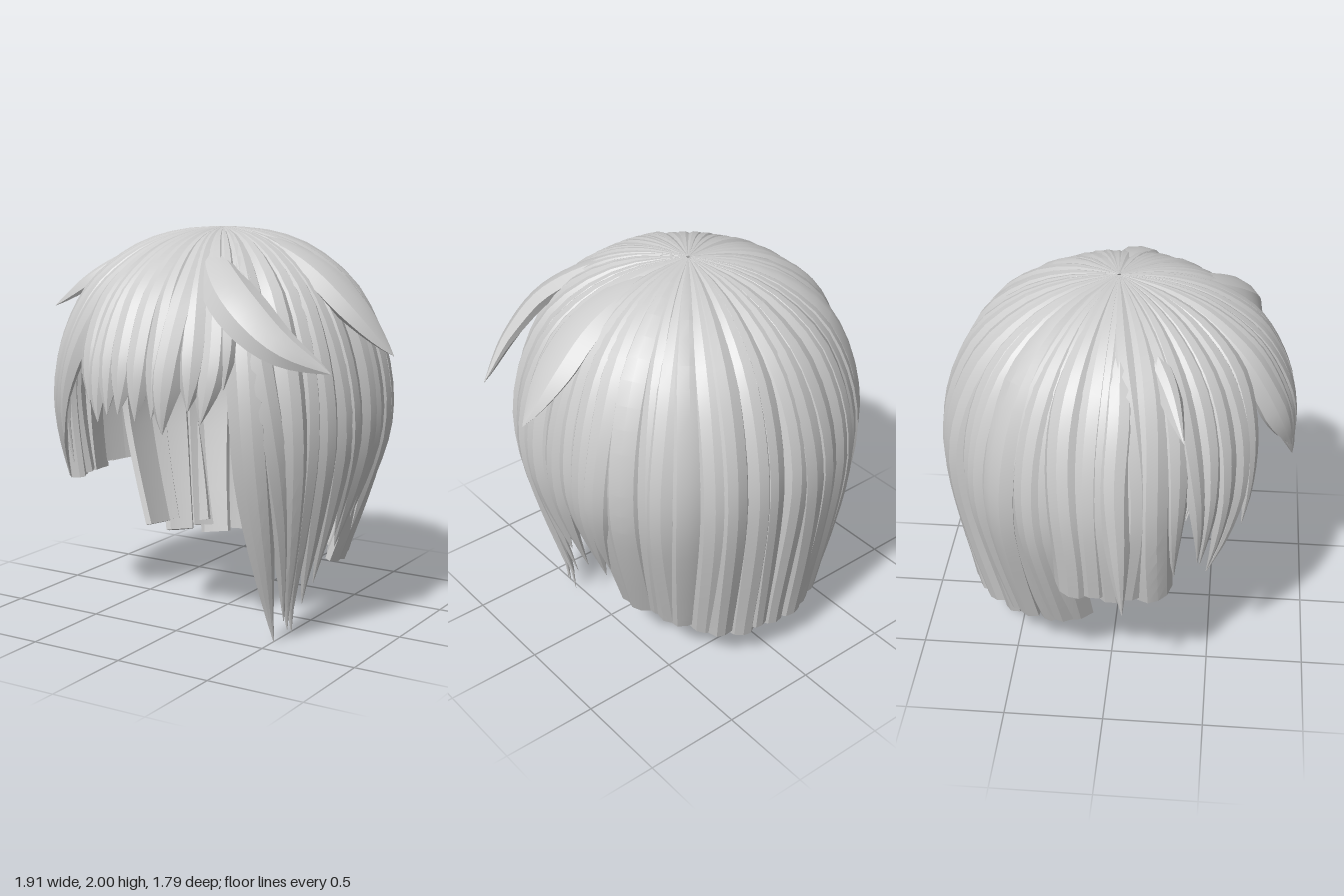
import * as THREE from 'three';
import { toCreasedNormals } from 'three/addons/utils/BufferGeometryUtils.js';

const material = new THREE.MeshStandardMaterial({ color: 0xcccccc, side: THREE.DoubleSide });
const CROWN_X = -0.03;
const STEPS = 20;

// small seeded generator for natural variation
let seed = 7;
const rand = () => (seed = (seed * 16807) % 2147483647) / 2147483647;
const vary = (amount) => (rand() - 0.5) * 2 * amount;

// head profile from crown to hem as (radius, height)
const profile = new THREE.SplineCurve([
  [0.01, 1.995], [0.25, 1.96], [0.47, 1.87], [0.67, 1.7], [0.8, 1.46],
  [0.86, 1.2], [0.855, 0.95], [0.81, 0.6], [0.75, 0.2], [0.74, 0],
].map(([r, y]) => new THREE.Vector2(r, y))).getSpacedPoints(300);

// faceted lock section: (across, outward) going round the outside, then back inside
const SECTION = [[-1, -0.03], [-0.55, 0.02], [0, 0.032], [0.55, 0.02],
  [1, -0.03], [0.8, -0.06], [0, -0.055], [-0.8, -0.06]];

// sweep the section along points; widths[i] is the half width at point i,
// tilt lifts one edge over the neighbouring lock
function lockGeometry(points, widths, fullWidth, { blunt = false, tilt = 0 }) {
  const pos = [], index = [], n = SECTION.length;
  const T = new THREE.Vector3(), N = new THREE.Vector3(), B = new THREE.Vector3();
  points.forEach((p, i) => {
    T.subVectors(points[Math.min(i + 1, points.length - 1)], points[Math.max(i - 1, 0)]).normalize();
    N.set(p.x - CROWN_X, Math.max(0, (p.y - 1.1) * 0.9), p.z);
    B.crossVectors(T, N).normalize();
    N.crossVectors(B, T).normalize();
    const k = Math.min(1, widths[i] / fullWidth);
    SECTION.forEach(([u, o]) => {
      const v = p.clone().addScaledVector(B, u * widths[i]).addScaledVector(N, o * k + tilt * u * widths[i]);
      pos.push(v.x, v.y, v.z);
    });
    if (i === 0) return;
    for (let j = 0; j < n; j++) {
      const a = (i - 1) * n + j, b = (i - 1) * n + (j + 1) % n;
      index.push(a, b, b + n, a, b + n, a + n);
    }
  });
  if (blunt) {
    const e = (points.length - 1) * n;
    for (let j = 1; j < n - 1; j++) index.push(e, e + j, e + j + 1);
  }
  const g = new THREE.BufferGeometry();
  g.setAttribute('position', new THREE.Float32BufferAttribute(pos, 3));
  g.setIndex(index);
  return toCreasedNormals(g, 0.4);
}

function addMesh(group, name, geometry) {
  const mesh = new THREE.Mesh(geometry, material);
  mesh.name = name;
  group.add(mesh);
}

// a lock lying on the head; angle runs from the front (+z) toward +x, in degrees,
// pinch is how strongly the hem draws in at the sides
function headLock(group, name, lock) {
  const { angle, tip, half = 0.09, drift = 0, out = 0, blunt = false, taper = 0.6, pinch = 1 } = lock;
  let last = profile.findIndex((p) => p.y <= tip);
  if (last < 0) last = profile.length - 1;
  const points = [], widths = [], wave = vary(2.2), phase = rand() * 6;
  for (let i = 0; i <= STEPS; i++) {
    const t = i / STEPS;
    const { x: r0, y } = profile[Math.round(t * last)];
    const a = THREE.MathUtils.degToRad(angle + drift * t ** 2.5 + wave * Math.sin(t * 6 + phase));
    const low = Math.max(0, (1 - y) / 0.8) ** 1.4;
    const draw = pinch * (0.18 - 0.12 * Math.cos(a)) * Math.min(1.2, low);
    const r = r0 * (1 - Math.sin(a) ** 2 * (0.05 + draw)) + out * Math.min(1, r0);
    points.push(new THREE.Vector3(CROWN_X + r * Math.sin(a), y, r * Math.cos(a)));
    const end = blunt ? 1 - 0.15 * Math.min(1, low) : 1 - Math.max(0, (t - taper) / (1 - taper)) ** 1.5;
    widths.push(Math.max(0.002, half * Math.min(1, r0 / 0.7 + 0.03) * end));
  }
  addMesh(group, name, lockGeometry(points, widths, half, { blunt, tilt: vary(0.32) }));
}

// a free lock that leaves the head along its own curve
function looseLock(group, name, path, half, widest = 0.55) {
  const points = new THREE.CatmullRomCurve3(path.map((p) => new THREE.Vector3(...p))).getSpacedPoints(STEPS);
  const widths = points.map((_, i) => {
    const t = i / STEPS;
    const s = t < widest ? 0.5 * t / widest : 0.5 + 0.5 * (t - widest) / (1 - widest);
    return Math.max(0.002, half * Math.sin(Math.PI * s) ** 0.85);
  });
  addMesh(group, name, lockGeometry(points, widths, half, {}));
}

export function createModel() {
  const model = new THREE.Group();
  model.name = 'hair';
  const part = (name) => {
    const g = new THREE.Group();
    g.name = name;
    model.add(g);
    return g;
  };

  // blunt-cut back
  const back = part('backHair');
  for (let i = 0; i < 20; i++) {
    const angle = 112 + i * 7.3;
    const edge = Math.abs(angle - 178) / 72;
    headLock(back, 'backLock', {
      angle, tip: 0.19 + 0.11 * edge ** 2 + 0.05 * rand(),
      half: 0.08 + 0.04 * rand(), out: vary(0.022), blunt: true,
    });
  }

  // shorter blunt locks over the right ear
  const rightSide = part('rightSideHair');
  for (let i = 0; i < 5; i++) {
    headLock(rightSide, 'rightSideLock', {
      angle: -104 + i * 8, tip: 0.65 + 0.03 * rand(), half: 0.1, out: 0.035 + vary(0.012), blunt: true, pinch: 0.1,
    });
  }

  // pointed locks sweeping from the fringe to the right side
  const rightFront = part('rightFrontHair');
  [[-66, 0.75, 2], [-58, 0.8, 0], [-50, 0.78, -5], [-43, 0.72, -10], [-36, 0.71, -17], [-29, 0.95, -10]]
    .forEach(([angle, tip, drift]) => headLock(rightFront, 'rightFrontLock',
      { angle, tip, drift, half: 0.09, out: 0.01 + vary(0.015), taper: 0.55 }));

  // fringe
  const fringe = part('fringe');
  [[-21, 1.2, 7], [-15, 1.12, 6], [-9, 1.16, 2], [-3, 1.17, 0], [3, 1.14, 1], [9, 1.16, 0],
    [15, 1.09, 0], [21, 1.2, 0], [27, 1.14, -2], [32, 1.3, 0]].forEach(([angle, tip, drift]) =>
    headLock(fringe, 'fringeLock', {
      angle, tip, drift, half: 0.075 + 0.012 * rand(), out: 0.035 + vary(0.012), taper: 0.8,
    }));

  // long pointed locks on the left side
  const leftSide = part('leftSideHair');
  [[38, 0, 15], [44, 0.1, 13], [50, 0.05, 11], [57, 0.03, 8], [64, 0.17, 5], [71, 0.26, 5],
    [79, 0.5, 4], [87, 0.42, 3], [95, 0.55, 4], [103, 0.47, 2], [109, 0.55, 1]]
    .forEach(([angle, tip, drift]) => headLock(leftSide, 'leftSideLock',
      { angle, tip, drift, half: 0.095, out: 0.022 + vary(0.012), taper: angle > 75 ? 0.72 : 0.62 }));

  // loose locks standing off the head
  const loose = part('looseHair');
  looseLock(loose, 'leftFlick',
    [[0.05, 1.95, 0.2], [0.2, 1.86, 0.44], [0.42, 1.7, 0.61], [0.64, 1.52, 0.62], [0.86, 1.38, 0.51]], 0.13);
  looseLock(loose, 'leftEarFlick',
    [[0.0, 1.97, 0.02], [0.3, 1.93, 0.05], [0.55, 1.82, 0.07], [0.76, 1.64, 0.06], [0.95, 1.41, 0.03]], 0.14, 0.65);
  looseLock(loose, 'rightFlick',
    [[-0.1, 1.96, 0.04], [-0.4, 1.87, 0.16], [-0.63, 1.74, 0.28], [-0.83, 1.58, 0.36]], 0.07);
  looseLock(loose, 'rightEarLock',
    [[-0.1, 1.97, 0.01], [-0.45, 1.89, 0.04], [-0.73, 1.67, 0.06], [-0.88, 1.35, 0.05], [-0.935, 1.0, 0.07],
      [-0.94, 0.64, 0.09]], 0.09, 0.5);
  return model;
}
